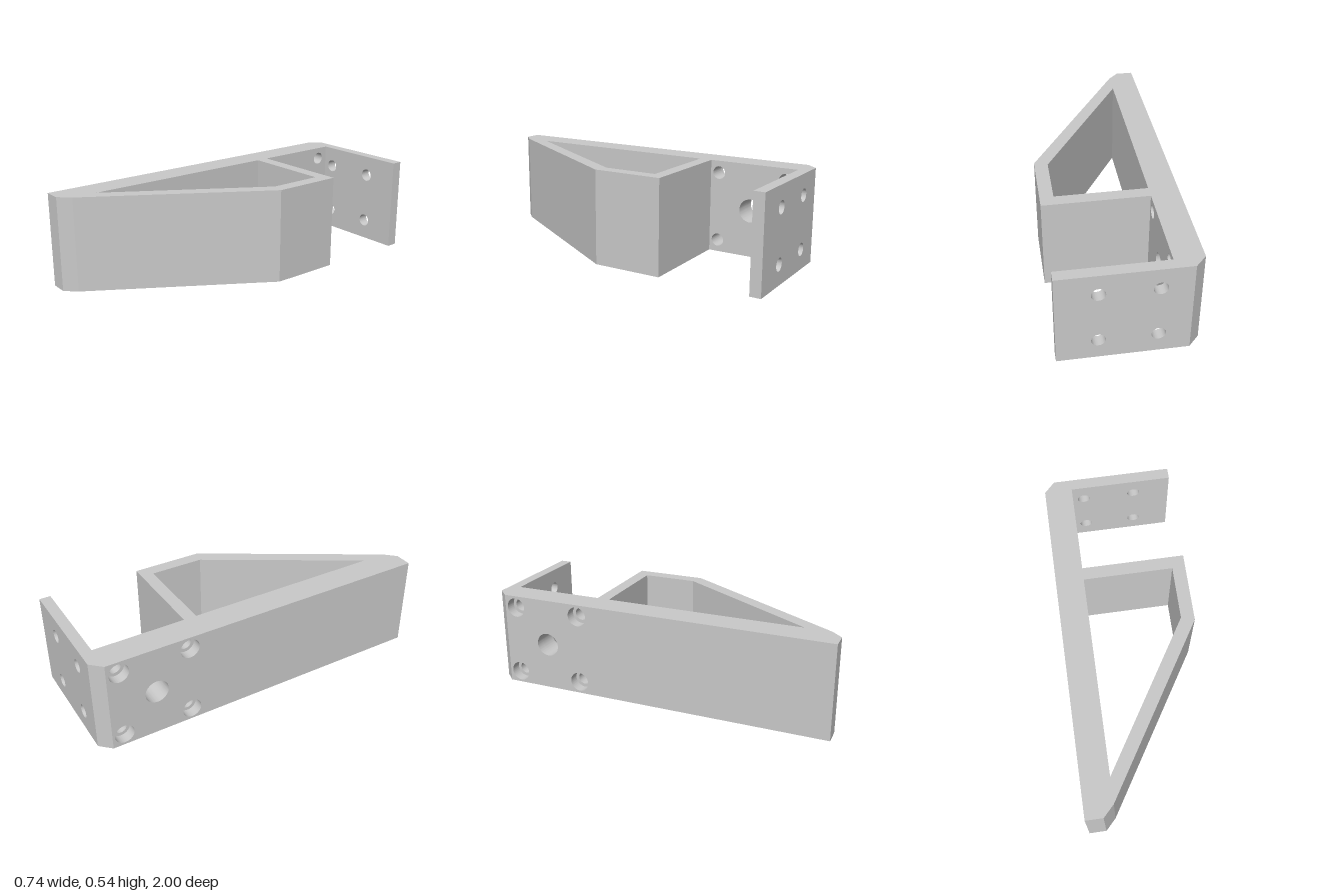
import * as THREE from 'three';
import { toCreasedNormals } from 'three/addons/utils/BufferGeometryUtils.js';

const H = 0.538;         // height of the bracket
const X = 0.372;         // half width
const WALL = -0.213;     // inner face of the thick wall
const BACK = -0.937;     // inner face of the rear flange
const SPLIT = -0.38;     // where the drilled wall meets the arm

const metal = new THREE.MeshStandardMaterial({ color: 0xc9c9c9 });
metal.name = 'grey metal';

const vectors = (points) => points.map(([x, y]) => new THREE.Vector2(x, y));

function shapeOf(points, holes = []) {
  const shape = new THREE.Shape(vectors(points));
  for (const [x, y, r] of holes) {
    const path = new THREE.Path();
    path.absarc(x, y, r, 0, Math.PI * 2, true);
    shape.holes.push(path);
  }
  return shape;
}

function extrude(shape, depth) {
  return new THREE.ExtrudeGeometry(shape, { depth, bevelEnabled: false, curveSegments: 32 });
}

// Round bores stay smooth, every flat face keeps a sharp edge
function part(name, geometry) {
  const mesh = new THREE.Mesh(toCreasedNormals(geometry, 0.15), metal);
  mesh.name = name;
  return mesh;
}

// Plan outline given as [x, z], raised to the full height; the opening runs the opposite way round
function upright(name, plan, opening) {
  const flip = (points) => points.map(([x, z]) => [x, -z]);
  const shape = shapeOf(flip(plan));
  if (opening) shape.holes.push(new THREE.Path(vectors(flip(opening))));
  return part(name, extrude(shape, H).rotateX(-Math.PI / 2));
}

// Wall layer between two x positions, with holes given as [z, y, radius]
function wallLayer(name, x0, x1, holes) {
  const outline = [[-SPLIT, 0], [-BACK, 0], [-BACK, H], [-SPLIT, H]];
  const shape = shapeOf(outline, holes.map(([z, y, r]) => [-z, y, r]));
  return part(name, extrude(shape, x1 - x0).rotateY(Math.PI / 2).translate(x0, 0, 0));
}

export function createModel() {
  const group = new THREE.Group();
  group.name = 'mounting bracket';

  // Long arm with the hollow, tapering brace
  group.add(upright('bracedArm',
    [[-X, SPLIT], [WALL, SPLIT], [WALL, -0.415], [X, -0.415], [X, -0.013],
      [WALL, 0.937], [-0.274, 1], [-X, 1]],
    [[WALL, 0.795], [0.297, -0.035], [0.297, -0.343], [WALL, -0.343]]));

  // Thick wall: counterbored outer layer and plain inner layer
  const wallHoles = (r) => [
    [-0.667, 0.269, 0.067],
    ...[-0.467, -0.867].flatMap((z) => [0.069, 0.469].map((y) => [z, y, r])),
  ];
  const step = -X + 0.06;
  group.add(wallLayer('counterboredWall', -X, step, wallHoles(0.056)));
  group.add(wallLayer('innerWall', step, WALL, wallHoles(0.037)));

  // Chamfered rear corner
  group.add(upright('chamferedCorner',
    [[-X, BACK], [-0.312, -1], [WALL, -1], [WALL, BACK]]));

  // Rear flange with four screw holes
  const screwHoles = [-0.147, 0.157].flatMap((x) => [0.117, 0.419].map((y) => [x, y, 0.037]));
  const flange = shapeOf([[WALL, 0], [X, 0], [X, H], [WALL, H]], screwHoles);
  group.add(part('rearFlange', extrude(flange, BACK + 1).translate(0, 0, -1)));

  return group;
}
